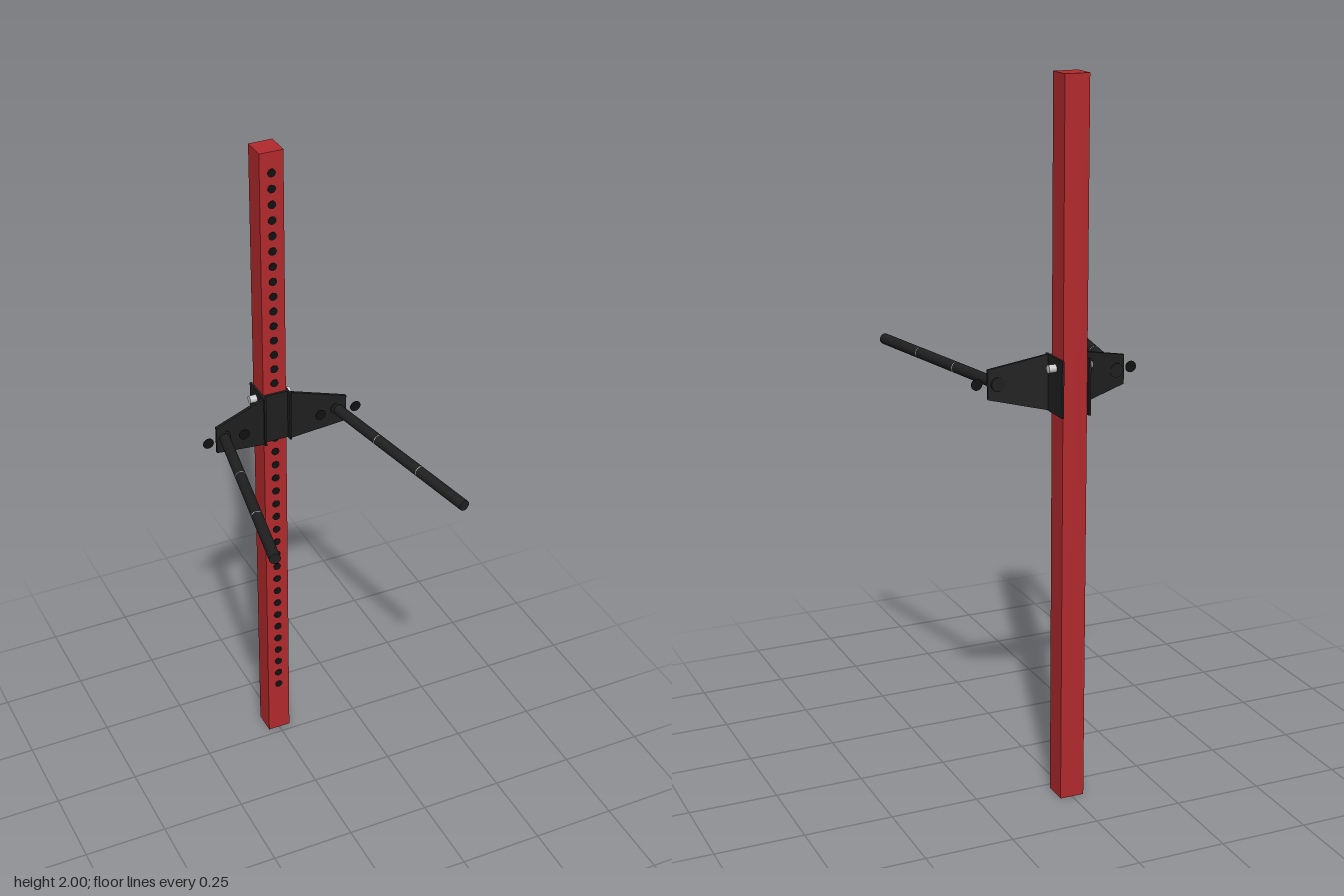
import * as THREE from 'three';

const red = new THREE.MeshStandardMaterial({ name: 'red paint', color: 0xb32a2d });
const black = new THREE.MeshStandardMaterial({ name: 'black steel', color: 0x1f1f1f });
const dark = new THREE.MeshStandardMaterial({ name: 'hole black', color: 0x111111 });
const grey = new THREE.MeshStandardMaterial({ name: 'bare steel', color: 0xc8c8c8 });

const POST_Z = -0.307;
const ARM_Y = 1.185;

function add(parent, name, geometry, material, x = 0, y = 0, z = 0) {
  const mesh = new THREE.Mesh(geometry, material);
  mesh.name = name;
  mesh.position.set(x, y, z);
  parent.add(mesh);
  return mesh;
}

// Disc or rod with its axis along z
const rodZ = (r, length, sides = 24) => new THREE.CylinderGeometry(r, r, length, sides).rotateX(Math.PI / 2);

// Tapered wing plate, swept forward towards its tip
function wingGeometry(side) {
  const corners = [[0.038, 1.105], [0.2, 1.143], [0.2, 1.225], [0.038, 1.26]];
  const shape = new THREE.Shape(corners.map(([x, y]) => new THREE.Vector2(side * x, y)));
  const geometry = new THREE.ExtrudeGeometry(shape, { depth: 0.009, bevelEnabled: false });
  const p = geometry.attributes.position;
  for (let i = 0; i < p.count; i++) {
    const t = (Math.abs(p.getX(i)) - 0.038) / 0.162;
    p.setZ(i, p.getZ(i) - 0.264 + 0.034 * t);
  }
  geometry.computeVertexNormals();
  return geometry;
}

export function createModel() {
  const model = new THREE.Group();
  model.name = 'postWithArms';

  // Square post with a column of adjustment holes on the front
  add(model, 'post', new THREE.BoxGeometry(0.07, 2, 0.07), red, 0, 1, POST_Z);
  const holes = new THREE.Group();
  holes.name = 'postHoles';
  model.add(holes);
  const holeGeometry = rodZ(0.012, 0.003, 20);
  for (let i = 0; i < 39; i++) {
    add(holes, 'postHole', holeGeometry, dark, 0, 0.18 + i * 0.0463, -0.272);
  }

  // Bracket around the post, locked by a cross pin
  const bracket = new THREE.Group();
  bracket.name = 'bracket';
  model.add(bracket);
  add(bracket, 'frontPlate', new THREE.BoxGeometry(0.076, 0.155, 0.007), black, 0, 1.1825, -0.267);
  add(bracket, 'lockingPin', new THREE.CylinderGeometry(0.011, 0.011, 0.126, 24).rotateZ(Math.PI / 2),
    grey, 0, 1.232, -0.308);

  for (const side of [1, -1]) {
    const label = side > 0 ? 'left' : 'right';
    add(bracket, label + 'SidePlate', new THREE.BoxGeometry(0.006, 0.155, 0.104), black, side * 0.039, 1.1825, -0.299);
    add(bracket, label + 'Wing', wingGeometry(side), black);
    add(bracket, label + 'ArmBoss', rodZ(0.0195, 0.014), black, side * 0.174, ARM_Y, -0.233);

    // Thin washers on either side of the arm root
    for (const x of [0.118, 0.227]) {
      add(bracket, label + 'Washer', rodZ(0.016, 0.0015), dark, side * x, ARM_Y, -0.217);
    }

    // Round arm splaying outwards, with two narrow seams
    const arm = new THREE.Group();
    arm.name = label + 'Arm';
    arm.position.set(side * 0.175, ARM_Y, -0.222);
    arm.rotation.y = side * Math.atan2(0.101, 0.566);
    model.add(arm);
    add(arm, 'armTube', rodZ(0.0155, 0.575, 32), black, 0, 0, 0.2875);
    for (const z of [0.192, 0.381]) {
      add(arm, 'armSeam', rodZ(0.0158, 0.002, 32), grey, 0, 0, z);
    }
  }
  return model;
}
